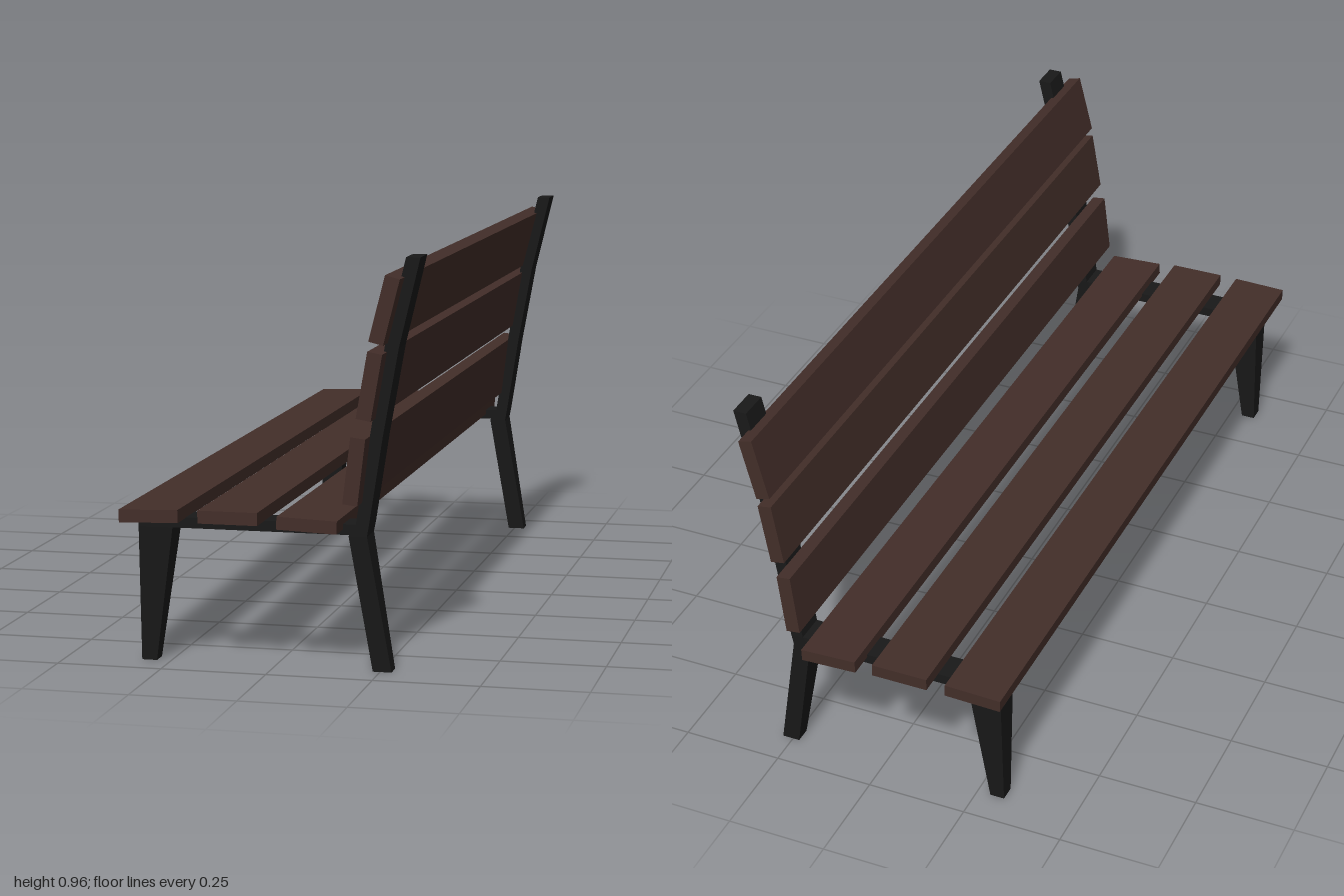
import * as THREE from 'three';

const wood = new THREE.MeshStandardMaterial({ color: 0x432e29, flatShading: true });
const metal = new THREE.MeshStandardMaterial({ color: 0x191919, flatShading: true });

// Solid through rectangular sections [y, xMin, xMax, halfDepth], listed bottom to top
function loft(sections) {
  const pos = [], idx = [];
  for (const [y, x0, x1, d] of sections) pos.push(x0, y, d, x1, y, d, x1, y, -d, x0, y, -d);
  const last = (sections.length - 1) * 4;
  for (let r = 0; r < last; r += 4) {
    for (let i = 0; i < 4; i++) {
      const a = r + i, b = r + (i + 1) % 4;
      idx.push(a, b, b + 4, a, b + 4, a + 4);
    }
  }
  idx.push(0, 2, 1, 0, 3, 2, last, last + 1, last + 2, last, last + 2, last + 3);
  const indexed = new THREE.BufferGeometry();
  indexed.setAttribute('position', new THREE.Float32BufferAttribute(pos, 3));
  indexed.setIndex(idx);
  const geo = indexed.toNonIndexed();
  geo.computeVertexNormals();
  return geo;
}

function add(parent, name, geo, mat, x = 0, y = 0, tilt = 0) {
  const mesh = new THREE.Mesh(geo, mat);
  mesh.name = name;
  mesh.position.set(x, y, 0);
  mesh.rotation.z = tilt;
  parent.add(mesh);
}

// One end support: tapered front leg, rail under the seat, bent rear post
function endFrame(z) {
  const g = new THREE.Group();
  g.name = 'endFrame';
  g.position.z = z;
  add(g, 'frontLeg', loft([
    [0, -0.32, -0.284, 0.02],
    [0.322, -0.32, -0.238, 0.037],
  ]), metal);
  add(g, 'seatRail', new THREE.BoxGeometry(0.52, 0.025, 0.074), metal, -0.06, 0.333);
  add(g, 'rearPost', loft([
    [0, 0.233, 0.277, 0.02],
    [0.318, 0.18, 0.223, 0.037],
    [0.345, 0.197, 0.228, 0.038],
    [0.55, 0.23, 0.26, 0.038],
    [0.755, 0.264, 0.297, 0.038],
    [0.96, 0.313, 0.346, 0.038],
  ]), metal);
  return g;
}

export function createModel() {
  const bench = new THREE.Group();
  bench.name = 'bench';
  for (const z of [-0.898, 0.898]) bench.add(endFrame(z));

  // Seat slats: x, y, tilt
  const seat = new THREE.BoxGeometry(0.141, 0.03, 2);
  for (const [x, y, tilt] of [[-0.277, 0.357, 0.03], [-0.089, 0.36, 0], [0.097, 0.351, -0.04]]) {
    add(bench, 'seatSlat', seat, wood, x, y, tilt);
  }

  // Back slats, leaning further toward the top: x, y, lean
  const back = new THREE.BoxGeometry(0.035, 0.155, 1.972);
  for (const [x, y, lean] of [[0.204, 0.476, 0.12], [0.239, 0.671, 0.172], [0.2735, 0.844, 0.25]]) {
    add(bench, 'backSlat', back, wood, x, y, -lean);
  }
  return bench;
}
